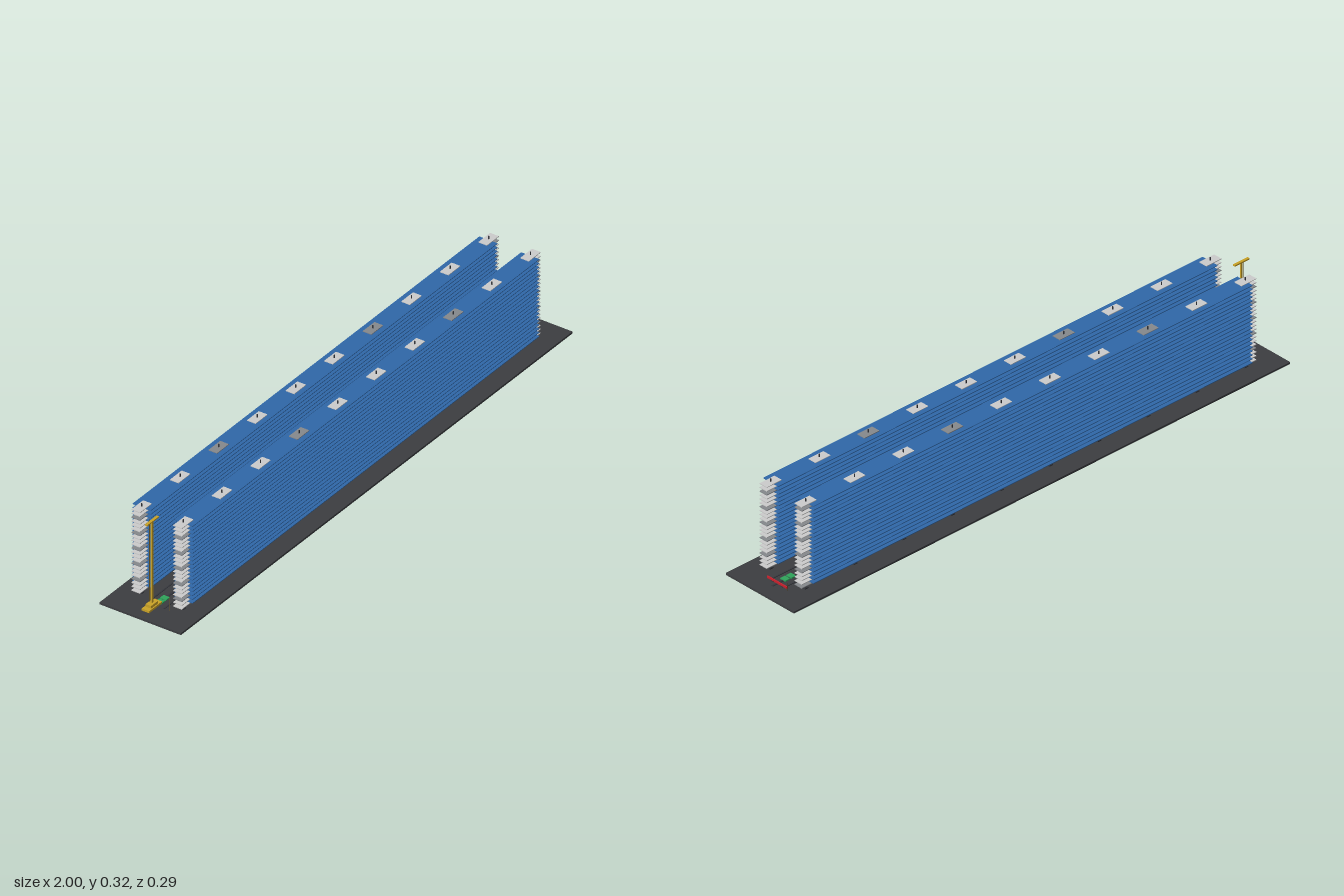
import * as THREE from 'three';

const mat = (color) => new THREE.MeshStandardMaterial({ color, flatShading: true });
const blue = mat(0x2f67a8), pale = mat(0xcccccc), grey = mat(0x85888c), dark = mat(0x3c3d40);
const steel = mat(0x34363c), yellow = mat(0xc9a227), red = mat(0xc8202c), green = mat(0x2fa35a);
const brass = mat(0x6b5a2a);

function box(parent, name, material, size, pos) {
  const mesh = new THREE.Mesh(new THREE.BoxGeometry(...size), material);
  mesh.name = name;
  mesh.position.set(...pos);
  parent.add(mesh);
  return mesh;
}

const BAYS = 10, LEVELS = 21, STEP = 0.0134, FIRST = 0.0362;
const bayX = (i) => -0.886 + i * 0.1969;

// One long rack: columns, shelves and the pads stacked on every column
function makeRack(side) {
  const rack = new THREE.Group();
  rack.name = side > 0 ? 'frontRack' : 'backRack';
  for (let k = 0; k < LEVELS; k++) {
    box(rack, 'shelf', blue, [1.77, 0.0025, 0.065], [0, FIRST + k * STEP, 0]);
  }
  for (let i = 0; i < BAYS; i++) {
    box(rack, 'column', steel, [0.003, 0.312, 0.003], [bayX(i), 0.162, 0]);
    box(rack, 'columnFoot', steel, [0.014, 0.003, 0.01], [bayX(i), 0.008, 0]);
    for (let k = 0; k <= LEVELS; k++) {
      const y = FIRST + (k - 1) * STEP + 0.0022;
      const shifted = (i * 3 + k + (side > 0 ? 2 : 1)) % 4 === 0;
      box(rack, 'pad', shifted ? grey : pale, [0.06, 0.0025, 0.031], [bayX(i), y, 0]);
    }
  }
  rack.position.z = side * 0.075;
  return rack;
}

// Mast carriage standing at the end of the aisle
function makeCrane() {
  const crane = new THREE.Group();
  crane.name = 'crane';
  box(crane, 'craneBase', yellow, [0.066, 0.007, 0.027], [0, 0.0165, 0]);
  box(crane, 'craneMotor', yellow, [0.036, 0.01, 0.02], [0, 0.024, 0]);
  box(crane, 'mast', yellow, [0.006, 0.286, 0.006], [0, 0.17, 0]);
  box(crane, 'topArm', yellow, [0.06, 0.004, 0.009], [0, 0.313, 0]);
  box(crane, 'mastCable', brass, [0.0015, 0.294, 0.0015], [0, 0.168, -0.0085]);
  for (const s of [-1, 1]) {
    const wheel = new THREE.Mesh(new THREE.CylinderGeometry(0.005, 0.005, 0.008, 12), steel);
    wheel.name = 'wheel';
    wheel.rotation.x = Math.PI / 2;
    wheel.position.set(s * 0.024, 0.013, 0);
    crane.add(wheel);
  }
  crane.position.x = -0.94;
  return crane;
}

export function createModel() {
  const model = new THREE.Group();
  model.name = 'storageRacks';
  box(model, 'floor', dark, [2, 0.0065, 0.292], [0, 0.00325, 0]);
  model.add(makeRack(1), makeRack(-1), makeCrane());

  // Aisle: running rail, guide strips and paired markers at each bay
  box(model, 'rail', steel, [1.9, 0.002, 0.006], [0, 0.0075, 0]);
  for (const s of [-1, 1]) {
    box(model, 'guideStrip', steel, [1.84, 0.0015, 0.004], [0, 0.0072, s * 0.03]);
  }
  for (let i = 0; i < BAYS; i++) {
    for (const s of [-1, 1]) {
      box(model, 'marker', green, [0.019, 0.004, 0.022], [bayX(i) + s * 0.012, 0.0095, 0]);
    }
  }

  // End stop and thin posts
  box(model, 'endStop', red, [0.004, 0.007, 0.084], [0.93, 0.0115, 0]);
  for (const s of [-1, 1]) {
    box(model, 'endStopFoot', steel, [0.006, 0.0025, 0.012], [0.93, 0.0072, s * 0.02]);
  }
  box(model, 'tallPost', brass, [0.0015, 0.049, 0.0015], [-0.92, 0.031, 0.05]);
  box(model, 'shortPost', brass, [0.0015, 0.028, 0.0015], [0.935, 0.02, -0.05]);
  return model;
}
